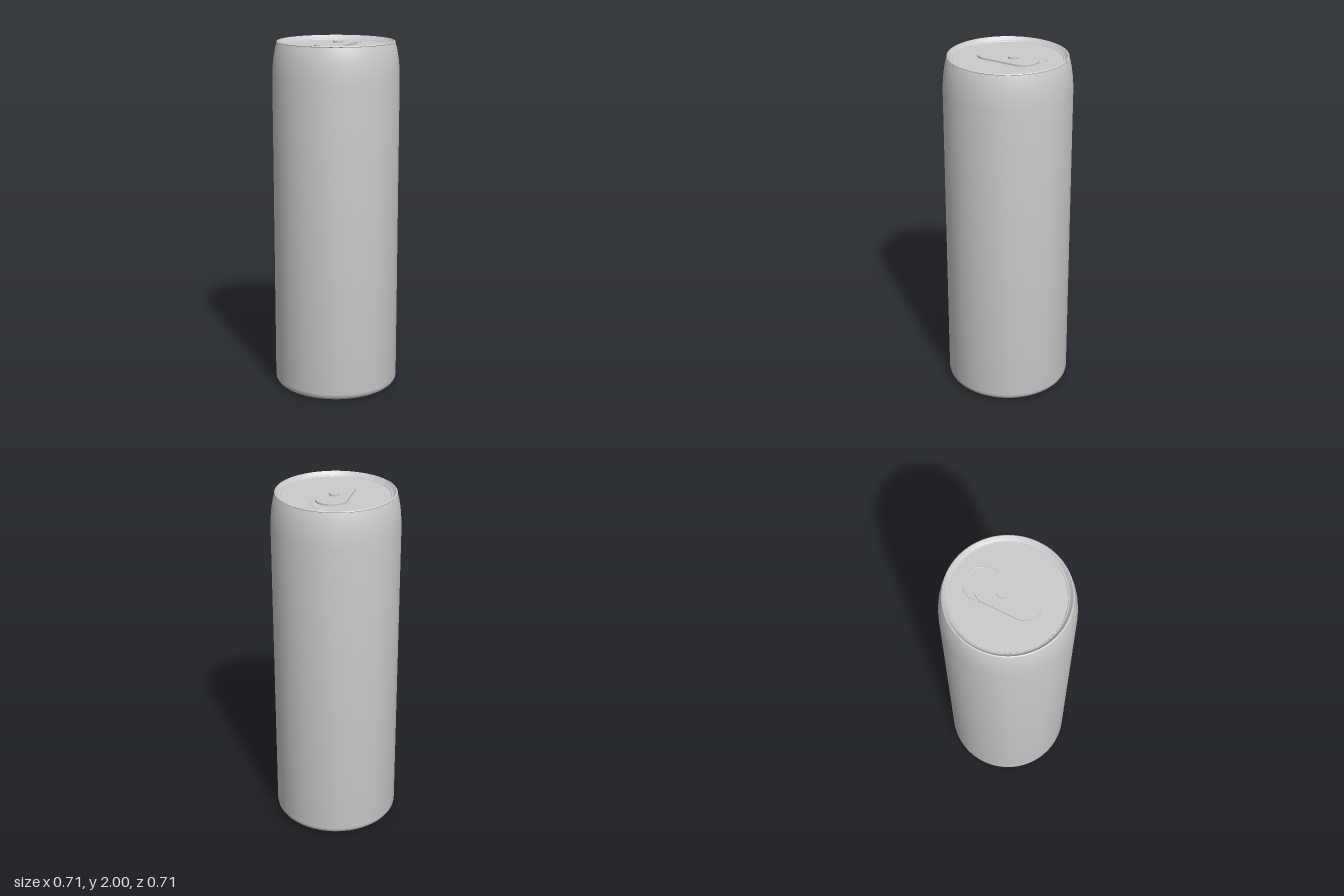
import * as THREE from 'three';
import { toCreasedNormals } from 'three/addons/utils/BufferGeometryUtils.js';

const material = new THREE.MeshStandardMaterial({ color: 0xcccccc, side: THREE.DoubleSide });
const LID_Y = 1.975;

// Surface of revolution from [radius, height] pairs, listed from bottom to top
function turned(name, points, crease = 0.6) {
  const geometry = new THREE.LatheGeometry(points.map(([r, y]) => new THREE.Vector2(r, y)), 96);
  const mesh = new THREE.Mesh(toCreasedNormals(geometry, crease), material);
  mesh.name = name;
  return mesh;
}

// Pill-shaped outline; shape y becomes -z once laid flat
function pillShape(radius, zBack, zFront) {
  const shape = new THREE.Shape();
  shape.absarc(0, -zBack - radius, radius, 0, Math.PI, false);
  shape.absarc(0, -zFront + radius, radius, Math.PI, Math.PI * 2, false);
  shape.closePath();
  return shape;
}

export function createModel() {
  const can = new THREE.Group();
  can.name = 'can';

  // Straight wall with rounded foot and tapering neck
  can.add(turned('body', [
    [0.32, 0], [0.333, 0.005], [0.344, 0.014], [0.352, 0.026], [0.355, 0.042],
    [0.355, 1.8], [0.3535, 1.84], [0.35, 1.885], [0.3445, 1.925], [0.337, 1.963], [0.328, 1.992],
  ]));

  // Shallow inward dome underneath
  can.add(turned('base', [[0.0001, 0.05], [0.1, 0.04], [0.2, 0.027], [0.29, 0.01], [0.32, 0]]));

  // Rolled rim, inner wall and the small step around the lid
  can.add(turned('rim', [
    [0.298, LID_Y], [0.3, LID_Y + 0.004], [0.306, LID_Y + 0.004], [0.309, LID_Y + 0.006],
    [0.32, 1.997], [0.323, 2], [0.328, 1.998], [0.33, 1.995], [0.328, 1.992],
  ]));

  const lid = new THREE.Mesh(new THREE.CircleGeometry(0.299, 96).rotateX(-Math.PI / 2), material);
  lid.name = 'lid';
  lid.position.y = LID_Y;
  can.add(lid);

  // Pull tab and its rivet
  const tabGeometry = new THREE.ExtrudeGeometry(pillShape(0.087, -0.183, 0.18), {
    depth: 0.01, bevelEnabled: false, curveSegments: 32,
  }).rotateX(-Math.PI / 2);
  const tab = new THREE.Mesh(tabGeometry, material);
  tab.name = 'pullTab';
  tab.position.y = LID_Y;
  can.add(tab);

  const rivet = new THREE.Mesh(new THREE.CylinderGeometry(0.028, 0.028, 0.02, 40), material);
  rivet.name = 'rivet';
  rivet.position.set(0, LID_Y + 0.01, -0.033);
  can.add(rivet);

  // Raised score lines either side of the mouth, half sunk in the lid
  for (const [side, name] of [[1, 'leftScoreLine'], [-1, 'rightScoreLine']]) {
    const points = [[0.035, -0.232], [0.062, -0.217], [0.085, -0.188], [0.096, -0.15], [0.097, -0.115], [0.09, -0.08]]
      .map(([x, z]) => new THREE.Vector3(side * x, 0, z));
    const geometry = new THREE.TubeGeometry(new THREE.CatmullRomCurve3(points), 32, 0.004, 8);
    geometry.scale(1, 0.6, 1);
    const line = new THREE.Mesh(geometry, material);
    line.name = name;
    line.position.y = LID_Y;
    can.add(line);
  }

  return can;
}
